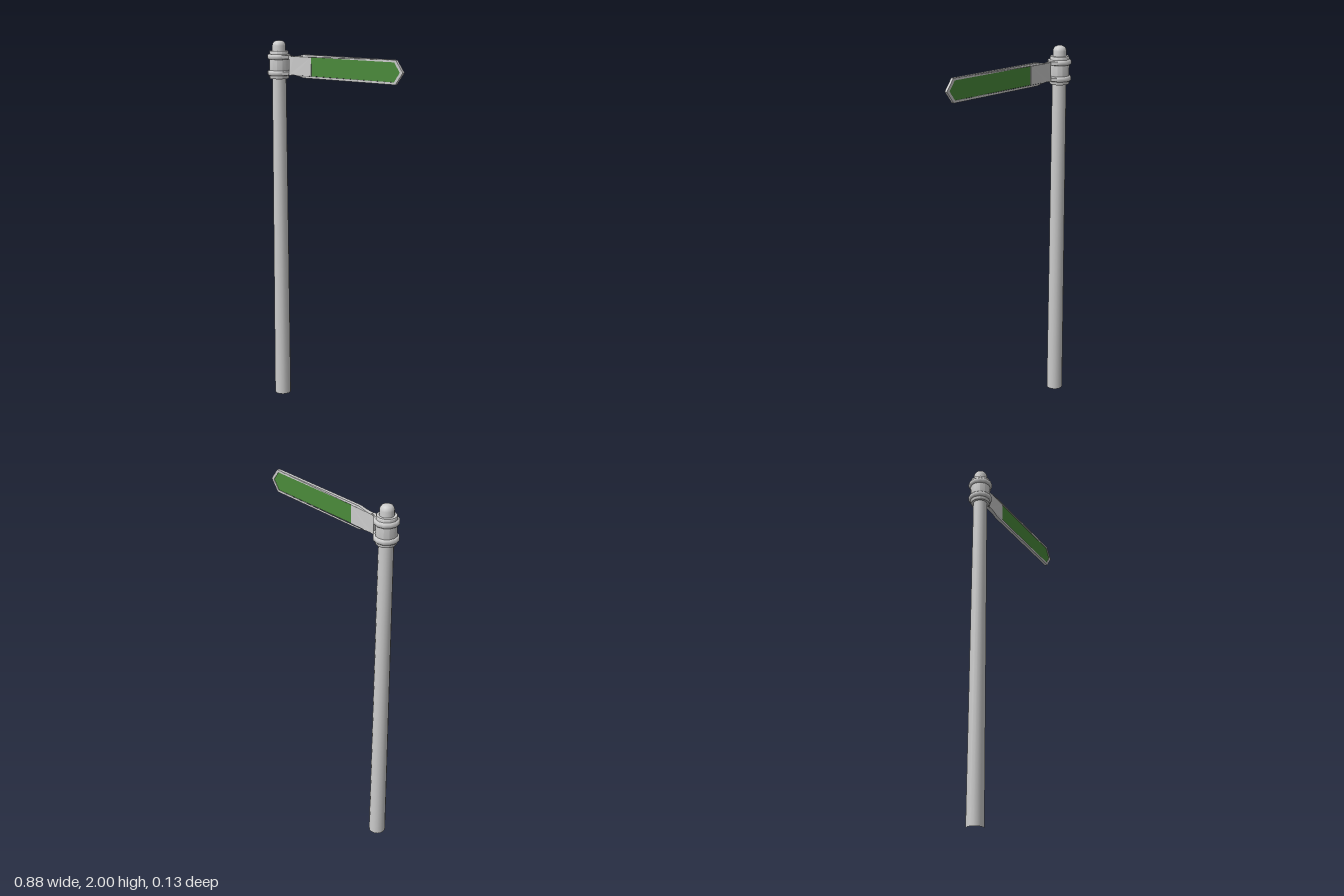
import * as THREE from 'three';
import { toCreasedNormals } from 'three/addons/utils/BufferGeometryUtils.js';

const POST_X = -0.377;
const SIGN_Y = 1.871;

const grey = new THREE.MeshStandardMaterial({ color: 0xcccccc });
const green = new THREE.MeshStandardMaterial({ color: 0x4a8a3a });

const points = (list) => list.map(([x, y]) => new THREE.Vector2(x, y));

function part(name, geometry, material = grey) {
  const mesh = new THREE.Mesh(geometry, material);
  mesh.name = name;
  return mesh;
}

// Revolved profile about the post axis
function turned(name, profile, sides, crease) {
  const mesh = part(name, toCreasedNormals(new THREE.LatheGeometry(points(profile), sides), crease));
  mesh.position.x = POST_X;
  return mesh;
}

// Extruded slab centred on z = 0
function slab(shape, depth) {
  return new THREE.ExtrudeGeometry(shape, { depth, bevelEnabled: false }).translate(0, 0, -depth / 2);
}

export function createModel() {
  const model = new THREE.Group();
  model.name = 'signpost';

  // Tapered hollow post, open at the foot
  const post = part('post', new THREE.CylinderGeometry(0.037, 0.045, 1.92, 16, 1, true));
  post.position.set(POST_X, 0.96, 0);
  model.add(post);

  // Domed cap on the post
  model.add(turned('postCap', [
    [0.036, 1.92], [0.036, 1.972], [0.034, 1.983], [0.027, 1.993], [0.015, 1.999], [0, 2],
  ], 16, 0.9));

  // Clamp sleeve around the post
  model.add(turned('clampSleeve', [
    [0.036, 1.797], [0.05, 1.797], [0.053, 1.803], [0.053, 1.939], [0.05, 1.945], [0.036, 1.945],
  ], 12, 0.6));

  // Two clamp bands, each with a pointed ear reaching the sign
  for (const [label, y] of [['lower', 1.828], ['upper', 1.914]]) {
    const band = new THREE.Group();
    band.name = label + 'Clamp';
    band.add(turned('band', [
      [0.052, y - 0.014], [0.059, y - 0.013], [0.064, y - 0.007],
      [0.064, y + 0.007], [0.059, y + 0.013], [0.052, y + 0.014],
    ], 12, 0.9));
    const earShape = new THREE.Shape(points([
      [-0.34, -0.045], [-0.321, -0.032], [-0.302, -0.008], [-0.285, -0.008],
      [-0.285, 0.008], [-0.302, 0.008], [-0.321, 0.032], [-0.34, 0.045],
    ]));
    const ear = part('ear', slab(earShape, 0.018).rotateX(-Math.PI / 2));
    ear.position.y = y;
    band.add(ear);
    model.add(band);
  }

  // Arrow-shaped sign plate with a window for the panel
  const sign = new THREE.Group();
  sign.name = 'sign';
  sign.position.y = SIGN_Y;
  const outline = new THREE.Shape(points([
    [-0.3, -0.042], [-0.295, -0.048], [-0.265, -0.049], [-0.235, -0.053], [-0.2, -0.061],
    [0.393, -0.061], [0.437, 0], [0.393, 0.061],
    [-0.2, 0.061], [-0.235, 0.053], [-0.265, 0.049], [-0.295, 0.048], [-0.3, 0.042],
  ]));
  const panelCorners = [[-0.148, -0.049], [0.384, -0.049], [0.419, 0], [0.384, 0.049], [-0.148, 0.049]];
  outline.holes.push(new THREE.Path(points(panelCorners)));
  const plate = slab(outline, 0.016);

  // Thicken the plate toward the clamp
  const pos = plate.attributes.position;
  for (let i = 0; i < pos.count; i++) {
    const x = pos.getX(i);
    const t = THREE.MathUtils.clamp((-0.23 - x) / 0.035, 0, 1);
    pos.setZ(i, pos.getZ(i) * (x < -0.298 ? 1.1 : 1 + 0.4 * t));
  }
  plate.computeVertexNormals();
  sign.add(part('signPlate', plate));

  // Coloured panel, slightly recessed on both faces
  sign.add(part('signPanel', slab(new THREE.Shape(points(panelCorners)), 0.011), green));
  model.add(sign);

  return model;
}
